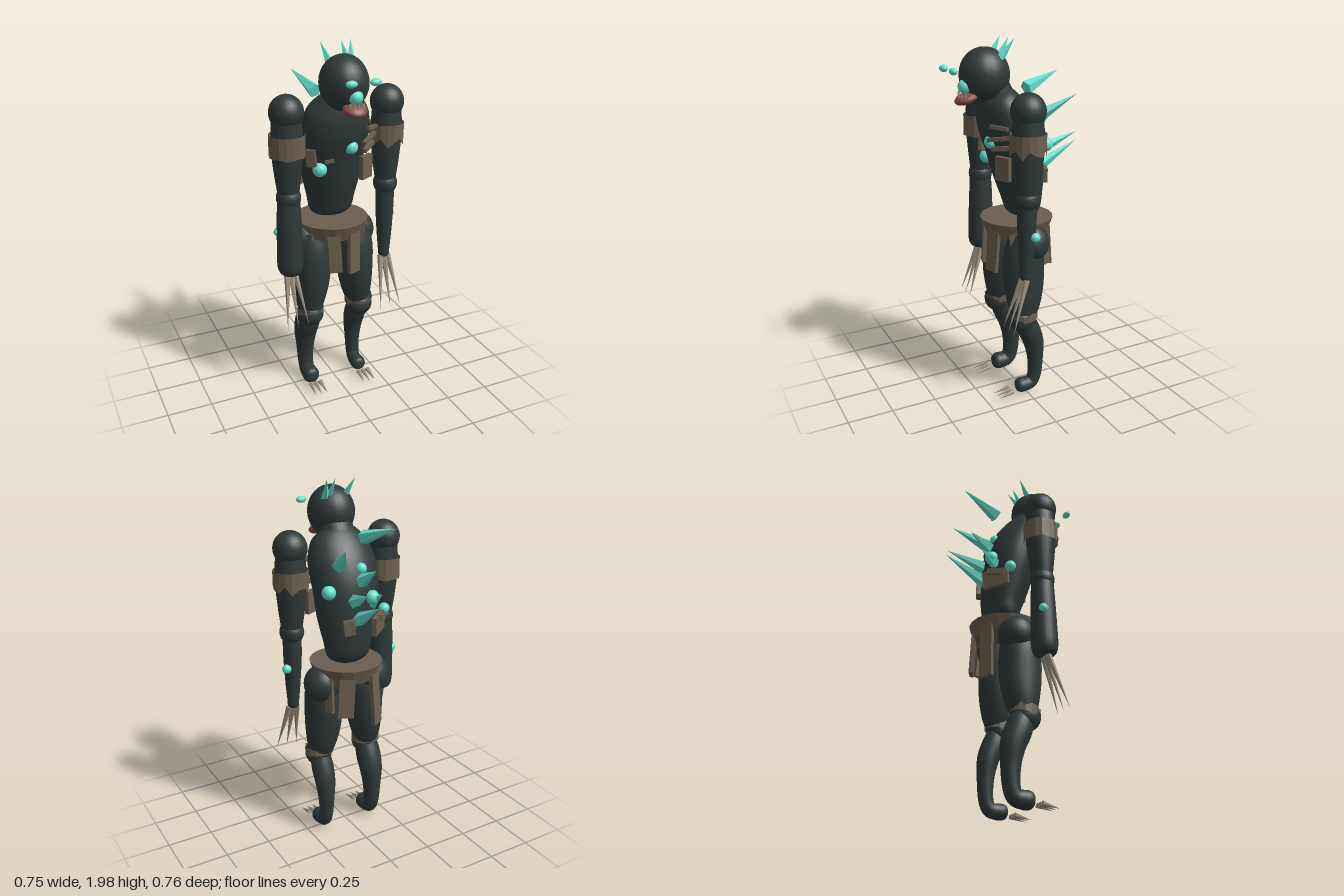
import * as THREE from 'three';

const V = (x, y, z) => new THREE.Vector3(x, y, z);
const mat = (color, extra = {}) => new THREE.MeshStandardMaterial({ color, ...extra });
const skin = mat(0x2f3838);
const glow = mat(0x66e0cc);
const crystal = mat(0x66e0cc, { flatShading: true });
const hide = mat(0x6b5f50, { flatShading: true, side: THREE.DoubleSide });
const bone = mat(0x9c9282, { flatShading: true });
const flesh = mat(0x884848);

export function createModel() {
  const root = new THREE.Group();

  const add = (name, geo, material, pos = [0, 0, 0], rot = [0, 0, 0], scale = [1, 1, 1]) => {
    const m = new THREE.Mesh(geo, material);
    m.name = name;
    m.position.set(...pos);
    m.rotation.set(...rot);
    m.scale.set(...scale);
    root.add(m);
    return m;
  };

  const ball = (name, pos, radii, material = skin, rot) =>
    add(name, new THREE.SphereGeometry(1, 24, 16), material, pos, rot,
      Array.isArray(radii) ? radii : [radii, radii, radii]);

  // Smooth body from elliptical sections [x, y, z, side radius, depth radius], listed downward
  const loft = (name, sections, rows = 28, sides = 24) => {
    const path = new THREE.CatmullRomCurve3(sections.map(s => V(s[0], s[1], s[2])), false, 'catmullrom');
    const size = new THREE.CatmullRomCurve3(sections.map(s => V(s[3], s[4] ?? s[3], 0)), false, 'catmullrom');
    const pos = [], idx = [];
    for (let i = 0; i <= rows; i++) {
      const c = path.getPoint(i / rows), r = size.getPoint(i / rows), t = path.getTangent(i / rows);
      const depth = t.clone().cross(V(1, 0, 0)).normalize();
      const across = depth.clone().cross(t).normalize();
      for (let j = 0; j < sides; j++) {
        const a = j / sides * Math.PI * 2;
        const p = c.clone()
          .addScaledVector(across, Math.cos(a) * Math.max(r.x, 0.001))
          .addScaledVector(depth, Math.sin(a) * Math.max(r.y, 0.001));
        pos.push(p.x, p.y, p.z);
        if (i < rows) {
          const k = i * sides + j, n = i * sides + (j + 1) % sides;
          idx.push(k, n, k + sides, n, n + sides, k + sides);
        }
      }
    }
    const g = new THREE.BufferGeometry();
    g.setAttribute('position', new THREE.Float32BufferAttribute(pos, 3));
    g.setIndex(idx);
    g.computeVertexNormals();
    return add(name, g, skin);
  };

  // Pointed cone from a base point to a tip
  const spike = (name, from, to, radius, material, sides = 5) => {
    const a = V(...from), d = V(...to).sub(a);
    const g = new THREE.ConeGeometry(radius, d.length(), sides).translate(0, d.length() / 2, 0);
    const m = add(name, g, material, from);
    m.quaternion.setFromUnitVectors(V(0, 1, 0), d.normalize());
  };

  // Open wrap with a ragged edge (edge = -1 bottom, 1 top)
  const wrap = (name, pos, radius, height, ragged, edge, rot) => {
    const g = new THREE.CylinderGeometry(radius, radius, height, 16, 1, true);
    const p = g.attributes.position;
    for (let i = 0; i < p.count; i++) {
      if (p.getY(i) * edge > 0) p.setY(i, p.getY(i) - edge * ragged * (0.5 + 0.5 * Math.sin((i % 17 % 16) * 2.4)));
    }
    add(name, g, hide, pos, rot);
  };

  // Torso and head
  loft('torso', [
    [0, 1.74, 0.13, 0.002, 0.002], [-0.01, 1.72, 0.12, 0.09, 0.07], [-0.01, 1.66, 0.09, 0.16, 0.11],
    [-0.01, 1.56, 0.05, 0.188, 0.14], [-0.01, 1.44, 0.005, 0.185, 0.145], [0, 1.3, -0.02, 0.168, 0.135],
    [0.005, 1.16, -0.04, 0.138, 0.11], [0.005, 1.06, -0.045, 0.11, 0.08], [0.005, 1.02, -0.045, 0.002, 0.002],
  ], 40, 32);
  loft('neck', [[-0.01, 1.78, 0.13, 0.09, 0.08], [-0.01, 1.7, 0.1, 0.1, 0.09], [-0.01, 1.6, 0.06, 0.12, 0.1]], 8);
  ball('head', [-0.013, 1.805, 0.162], [0.125, 0.14, 0.133]);

  // Face
  for (const x of [-0.066, 0.06]) ball('eye', [x, 1.842, 0.362], [0.03, 0.018, 0.02], glow);
  ball('mouthGlow', [-0.002, 1.755, 0.275], 0.037, glow);
  ball('lowerJaw', [-0.002, 1.695, 0.268], [0.062, 0.028, 0.064], flesh, [0.35, 0, 0]);
  for (let i = -2; i <= 2; i++) {
    const a = i * 0.5, x = Math.sin(a) * 0.045, z = 0.268 + Math.cos(a) * 0.042;
    spike('tooth', [x, 1.7, z], [x, 1.74, z], 0.006, bone);
  }

  // Head horns
  for (const [bx, tx, tz] of [[-0.06, -0.085, 0.037], [0.035, 0.026, 0.045], [0.055, 0.08, 0.037]]) {
    spike('horn', [bx, 1.89, 0.105], [tx, 1.99, tz], 0.025, crystal, 4);
  }

  // Back spikes: base, tip
  for (const [from, to] of [
    [[-0.055, 1.71, -0.1], [-0.105, 1.79, -0.325]],
    [[0.08, 1.58, -0.09], [0.16, 1.7, -0.285]],
    [[-0.03, 1.49, -0.12], [-0.04, 1.57, -0.25]],
    [[0.02, 1.39, -0.13], [0.07, 1.48, -0.345]],
    [[0, 1.29, -0.14], [0.02, 1.42, -0.375]],
    [[-0.09, 1.36, -0.11], [-0.105, 1.43, -0.21]],
  ]) spike('backSpike', from, to, 0.04, crystal);

  // Glowing growths on body and wrists
  for (const [x, y, z, r] of [
    [0.035, 1.465, 0.15, 0.037], [-0.12, 1.35, 0.105, 0.038], [-0.2, 1.305, -0.08, 0.03],
    [0.155, 1.45, -0.108, 0.037], [-0.085, 1.4, -0.14, 0.038], [-0.04, 1.55, -0.1, 0.03],
    [0.33, 1.015, 0.045, 0.025], [-0.335, 1.015, 0.045, 0.025],
  ]) ball('growth', [x, y, z], r, glow);

  // Arms: the right forearm is swollen, the left one withered
  for (const s of [-1, 1]) {
    const side = s < 0 ? 'right' : 'left', x = s * 0.282;
    ball(side + 'Shoulder', [x, 1.66, 0.065], [0.09, 0.092, 0.09]);
    loft(side + 'UpperArm', [[x, 1.66, 0.065, 0.075], [x, 1.5, 0.065, 0.083],
      [x, 1.35, 0.066, 0.072], [x, 1.22, 0.07, 0.055]], 14);
    ball(side + 'Elbow', [x, 1.21, 0.07], 0.066);
    const f = s < 0 ? [0.06, 0.066, 0.07, 0.07, 0.05] : [0.05, 0.05, 0.042, 0.033, 0.028];
    loft(side + 'Forearm', [[x, 1.2, 0.07, f[0]], [x, 1.08, 0.07, f[1]], [x, 0.93, 0.073, f[2]],
      [x, 0.82, 0.075, f[3]], [x, 0.775, 0.076, f[4]], [x, 0.765, 0.076, 0.002]], 24);
    wrap(side + 'ArmBand', [x, 1.49, 0.065], 0.094, 0.12, s < 0 ? 0.01 : 0.05, -1);
    for (let i = -1; i <= 1; i++) {
      spike(side + 'HandClaw', [x + i * 0.022, 0.775, 0.08], [x + i * 0.062, 0.485, 0.178], 0.018, bone, 6);
    }
  }

  // Legs
  for (const s of [-1, 1]) {
    const side = s < 0 ? 'right' : 'left', x = s * 0.153, k = s < 0 ? 1.05 : 0.92;
    ball(side + 'Hip', [s * 0.155, 0.92, -0.025], [0.1, 0.105, 0.1]);
    loft(side + 'Thigh', [[s * 0.125, 0.97, 0, 0.08], [s * 0.128, 0.85, 0.005, 0.104, 0.11],
      [s * 0.132, 0.7, 0.008, 0.1, 0.115], [s * 0.142, 0.58, 0.01, 0.085, 0.098],
      [x, 0.47, 0.02, 0.06, 0.065]], 22);
    ball(side + 'Knee', [x, 0.475, 0.03], 0.076);
    const section = (y, z, r) => [x, y, z, r * k];
    loft(side + 'Shin', [section(0.47, 0.01, 0.06), section(0.4, -0.015, 0.068), section(0.32, -0.045, 0.063),
      section(0.22, -0.057, 0.05), section(0.12, -0.055, 0.043), section(0.065, -0.035, 0.042),
      section(0.055, 0.005, 0.045), section(0.055, 0.035, 0.046), section(0.055, 0.058, 0.034),
      section(0.055, 0.066, 0.002)], 40);
    wrap(side + 'KneeBand', [x, 0.505, 0.022], 0.08, 0.05, 0.02, 1, [0.15, 0, 0]);
    for (let i = -1; i <= 1; i++) {
      spike(side + 'ToeClaw', [x + i * 0.028, 0.042, 0.098], [x + i * 0.035, 0.022, 0.19], 0.014, bone, 6);
    }
  }

  // Belt with hanging strips: angle around the waist, width, length, sideways lean
  add('belt', new THREE.CylinderGeometry(0.2, 0.172, 0.082, 20), hide, [0, 0.988, -0.015]);
  for (const [deg, width, length, lean] of [
    [-20, 0.07, 0.21, 0.06], [20, 0.075, 0.23, -0.05], [62, 0.07, 0.14, 0.1], [-68, 0.07, 0.2, -0.08],
    [115, 0.07, 0.2, 0.06], [153, 0.085, 0.22, -0.05], [210, 0.075, 0.3, 0.04],
  ]) {
    const a = deg * Math.PI / 180;
    const m = add('beltStrip', new THREE.BoxGeometry(width, length, 0.022).translate(0, -length / 2, 0), hide,
      [Math.sin(a) * 0.172, 0.98, -0.015 + Math.cos(a) * 0.172]);
    m.rotation.set(-0.06, a, lean, 'YXZ');
  }

  // Scraps and slats tied to chest and back: position, size, turn, lean
  for (const [pos, size, turn, lean] of [
    [[0.132, 1.34, 0.13], [0.085, 0.125, 0.025], 0.5, 0],
    [[0.14, 1.5, 0.15], [0.14, 0.02, 0.02], 0.7, 0.15],
    [[0.145, 1.45, 0.135], [0.13, 0.022, 0.02], 0.75, 0.1],
    [[0.15, 1.56, 0.16], [0.1, 0.018, 0.018], 0.7, -0.1],
    [[-0.17, 1.42, 0.11], [0.05, 0.09, 0.02], -0.8, 0.1],
    [[-0.08, 1.4, 0.14], [0.05, 0.018, 0.018], -0.4, 0.2],
    [[-0.13, 1.25, -0.135], [0.15, 0.1, 0.025], 3.85, 0.05],
    [[-0.145, 1.28, -0.14], [0.1, 0.035, 0.03], 3.95, -0.2],
    [[0.06, 1.26, -0.155], [0.06, 0.08, 0.025], 2.8, 0.1],
  ]) {
    const m = add('scrap', new THREE.BoxGeometry(...size), hide, pos);
    m.rotation.set(0, turn, lean, 'YXZ');
  }

  return root;
}
